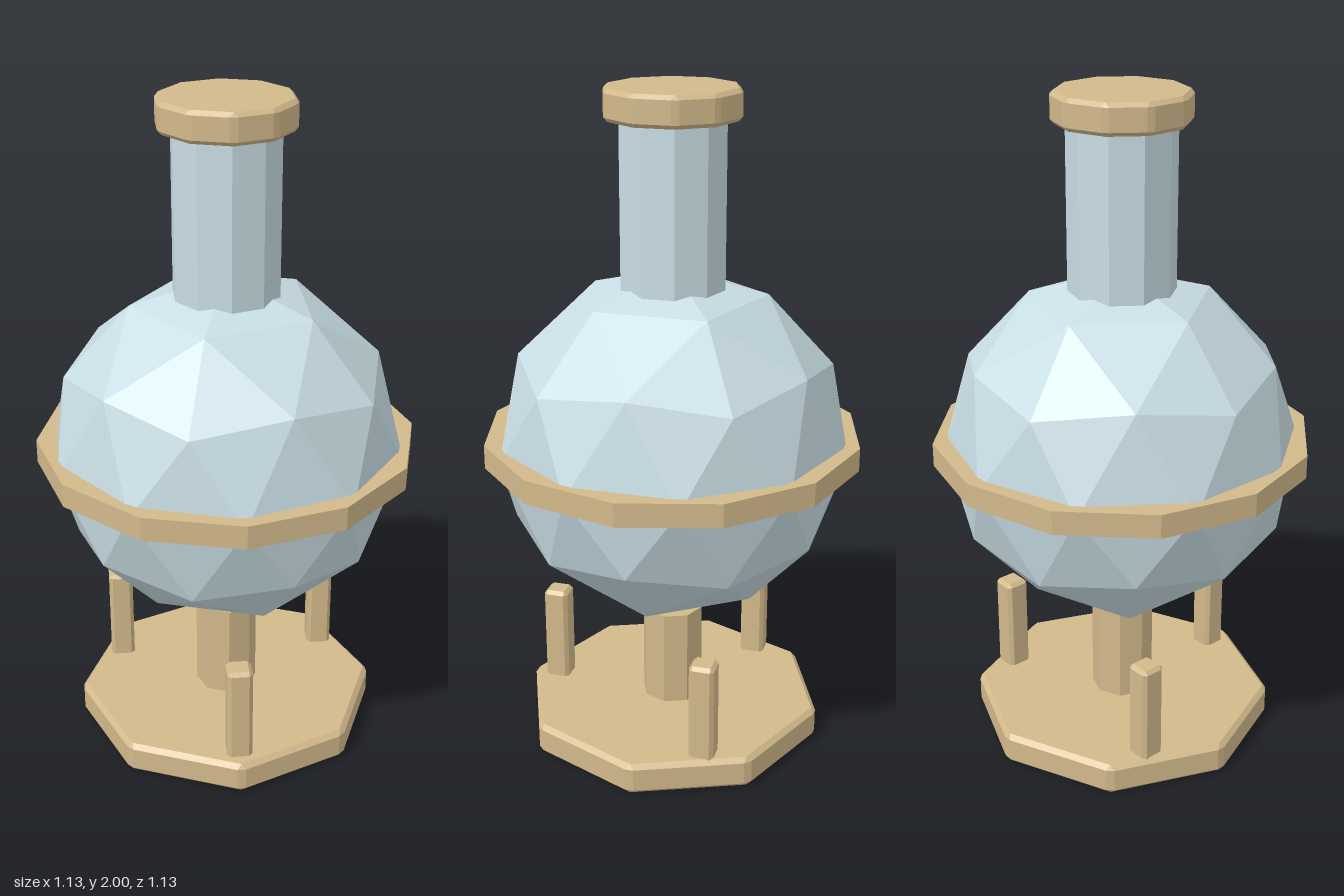
import * as THREE from 'three';
import { ConvexGeometry } from 'three/addons/geometries/ConvexGeometry.js';

const glass = new THREE.MeshStandardMaterial({ color: 0xc8dde4 });
glass.name = 'pale blue glass';
const wood = new THREE.MeshStandardMaterial({ color: 0xd2b98b });
wood.name = 'tan wood';

// Faceted normals
function facet(geometry) {
  const g = geometry.index ? geometry.toNonIndexed() : geometry;
  g.computeVertexNormals();
  return g;
}

// Plain upright prism from y0 to y1, with a corner on +z
function prism(radius, sides, y0, y1) {
  return facet(new THREE.CylinderGeometry(radius, radius, y1 - y0, sides).translate(0, (y0 + y1) / 2, 0));
}

// Upright prism with every edge chamfered by c
function chamferedPrism(radius, sides, y0, y1, c, turn = 0) {
  const corner = (i, r) => {
    const a = turn + (i / sides) * Math.PI * 2;
    return new THREE.Vector3(Math.sin(a) * r, 0, Math.cos(a) * r);
  };
  const points = [];
  const side = 2 * radius * Math.sin(Math.PI / sides);
  const inset = radius - c / Math.cos(Math.PI / sides);
  for (let i = 0; i < sides; i++) {
    for (const y of [y0, y1]) points.push(corner(i, inset).setY(y));
    for (const next of [i - 1, i + 1]) {
      const p = corner(i, radius).lerp(corner(next, radius), c / side);
      for (const y of [y0 + c, y1 - c]) points.push(p.clone().setY(y));
    }
  }
  return new ConvexGeometry(points);
}

export function createModel() {
  const group = new THREE.Group();
  const add = (name, geometry, material, x = 0, z = 0) => {
    const mesh = new THREE.Mesh(geometry, material);
    mesh.name = name;
    mesh.position.set(x, 0, z);
    group.add(mesh);
  };

  // Stand: octagonal base, central stem and three square pegs
  add('base', chamferedPrism(0.468, 8, 0, 0.098, 0.014), wood);
  add('stem', prism(0.095, 8, 0.09, 0.4), wood);
  for (let i = 0; i < 3; i++) {
    const a = (i / 3) * Math.PI * 2;
    const peg = chamferedPrism(0.038 * Math.SQRT2, 4, 0.08, 0.4, 0.011, Math.PI / 4);
    add('peg' + (i + 1), peg, wood, Math.sin(a) * 0.38, Math.cos(a) * 0.38);
  }

  // Globe: subdivided icosahedron, turned so a corner points straight up
  const tilt = Math.atan(2 / (1 + Math.sqrt(5)));
  const globe = new THREE.IcosahedronGeometry(0.532, 1).rotateZ(tilt).translate(0, 0.95, 0);
  add('globe', facet(globe), glass);

  // Belt around the middle, neck and stopper
  add('belt', prism(0.566, 12, 0.915, 0.986), wood);
  add('neck', prism(0.158, 10, 1.38, 1.93), glass);
  add('stopper', chamferedPrism(0.202, 10, 1.91, 2, 0.012), wood);

  return group;
}
